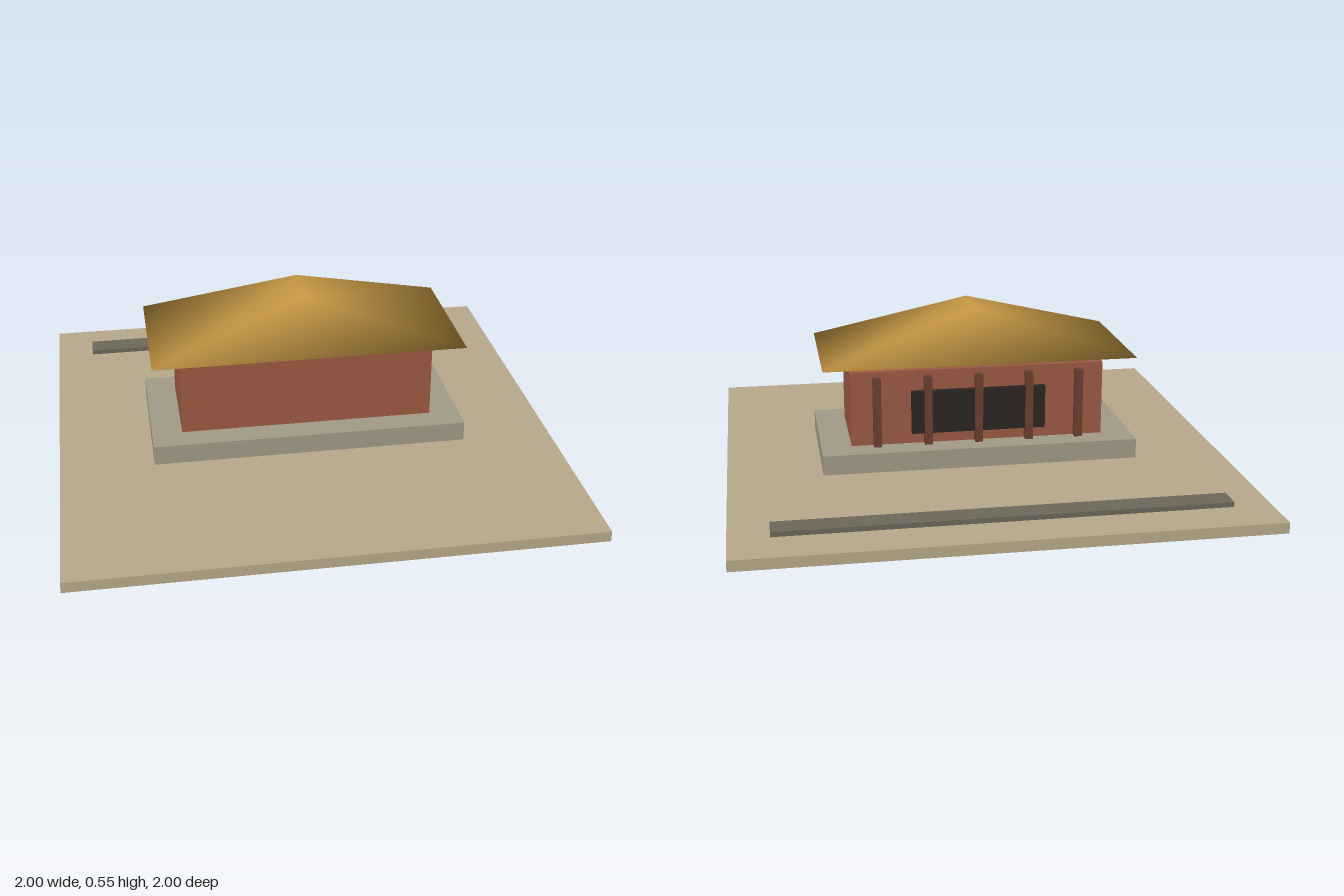
import * as THREE from 'three';

function material(color) {
  return new THREE.MeshStandardMaterial({ color });
}

export function createModel() {
  const model = new THREE.Group();
  model.name = 'pavilion';

  // Everything is laid out square, then the whole site is turned
  const site = new THREE.Group();
  site.name = 'site';
  site.rotation.y = -0.2196;
  model.add(site);

  // Box given by its centre in x and z, and its bottom and top
  function box(name, mat, w, d, y0, y1, x = 0, z = 0, parent = site) {
    const mesh = new THREE.Mesh(new THREE.BoxGeometry(w, y1 - y0, d), mat);
    mesh.position.set(x, (y0 + y1) / 2, z);
    mesh.name = name;
    parent.add(mesh);
    return mesh;
  }

  box('ground', material(0xb8a98a), 1.675, 1.675, 0, 0.035);
  box('path', material(0x6e675b), 1.42, 0.08, 0.04, 0.056, 0, -0.662);
  box('plinth', material(0xa39a88), 1.052, 0.492, 0.049, 0.115);
  box('walls', material(0x9c5a42), 0.85, 0.32, 0.115, 0.367);

  // Rear window band and the row of posts in front of it
  box('windowBand', material(0x2b2522), 0.45, 0.03, 0.153, 0.298, 0, -0.165);
  const posts = new THREE.Group();
  posts.name = 'posts';
  site.add(posts);
  const postMat = material(0x6b4030);
  for (let i = -2; i <= 2; i++) {
    box('post', postMat, 0.026, 0.026, 0.115, 0.35, i * 0.17, -0.174, posts);
  }

  // Hipped roof: four eave corners, a short ridge across, shared smooth normals
  const w = 0.519, d = 0.248, r = 0.09, y0 = 0.4, y1 = 0.553;
  const roofGeo = new THREE.BufferGeometry();
  roofGeo.setAttribute('position', new THREE.Float32BufferAttribute([
    -w, y0, -d, w, y0, -d, w, y0, d, -w, y0, d, // eaves
    0, y1, -r, 0, y1, r, // ridge
  ], 3));
  roofGeo.setIndex([
    3, 2, 5, 1, 0, 4, // gable slopes
    2, 1, 5, 1, 4, 5, // left slope
    0, 3, 4, 3, 5, 4, // right slope
    0, 1, 2, 0, 2, 3, // underside
  ]);
  roofGeo.computeVertexNormals();
  const roofMat = material(0xc99a45);
  roofMat.side = THREE.DoubleSide;
  const roof = new THREE.Mesh(roofGeo, roofMat);
  roof.name = 'roof';
  site.add(roof);

  return model;
}
